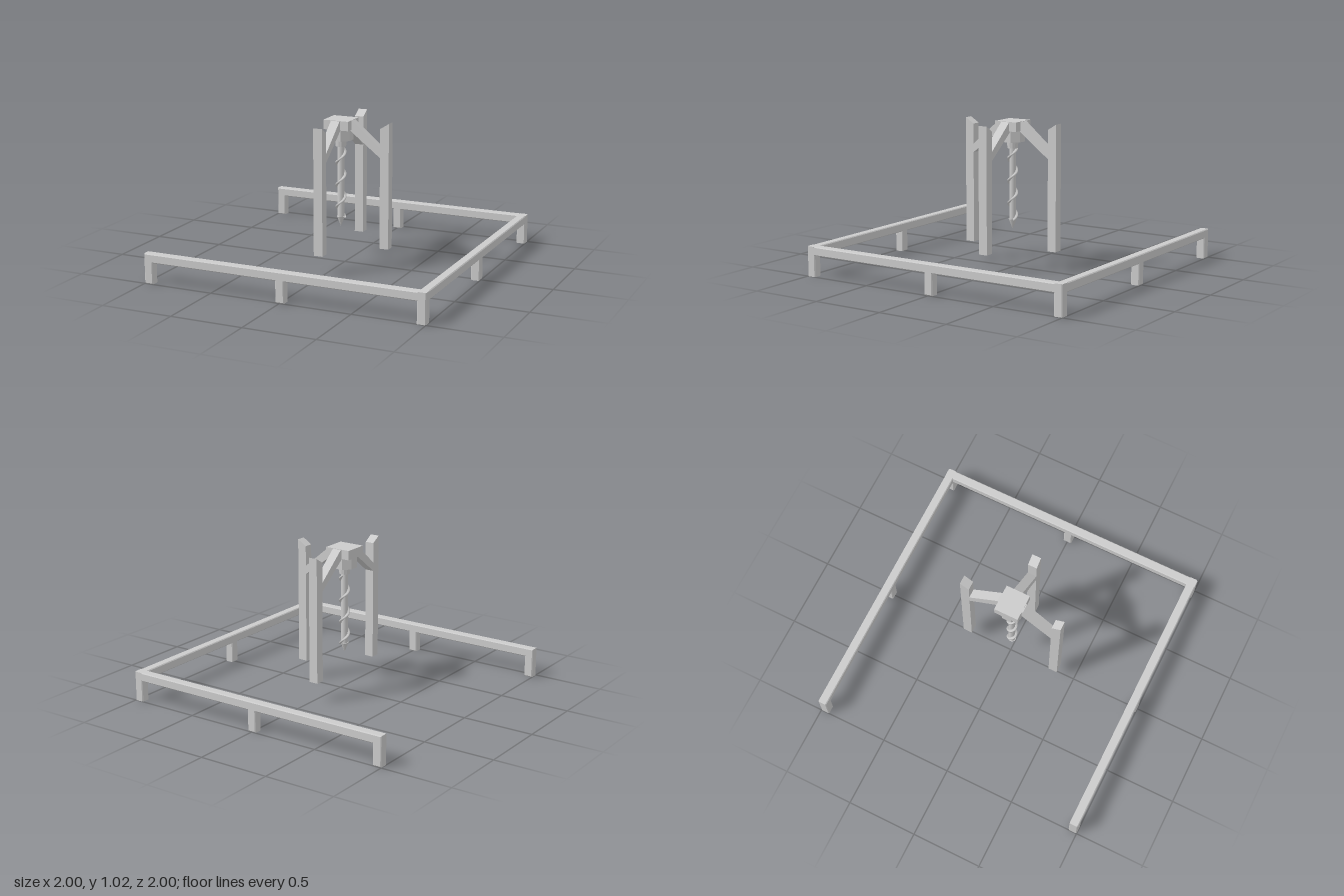
import * as THREE from 'three';

const mat = new THREE.MeshStandardMaterial({ color: 0xcccccc });
const flat = new THREE.MeshStandardMaterial({ color: 0xcccccc, flatShading: true });
const CX = -0.02, CZ = 0.02; // drill axis

function mesh(name, geo, parent, material = mat) {
  const m = new THREE.Mesh(geo, material);
  m.name = name;
  parent.add(m);
  return m;
}

// extrude a 2D outline by a total width, centred on z, with optional chamfer
function slab(points, width, bevel = 0) {
  const shape = new THREE.Shape(points.map(([x, y]) => new THREE.Vector2(x, y)));
  const geo = new THREE.ExtrudeGeometry(shape, {
    depth: width - 2 * bevel, bevelEnabled: bevel > 0, bevelThickness: bevel,
    bevelSize: bevel, bevelOffset: -bevel, bevelSegments: 1,
  });
  return geo.translate(0, 0, -width / 2 + bevel);
}

// screw ribbon of rectangular section winding round the bit
function flightGeometry(y0, y1, rIn, rOut, thick) {
  const pos = [], idx = [], steps = 100, pitch = 0.155;
  const section = [[rIn, -1], [rOut, -0.6], [rOut, 0.6], [rIn, 1]];
  for (let i = 0; i <= steps; i++) {
    const y = y0 + (y1 - y0) * i / steps;
    const t = Math.PI * 1.5 + Math.PI * 2 * (y - 0.425) / pitch;
    for (const [r, s] of section) pos.push(r * Math.cos(t), y + s * thick / 2, -r * Math.sin(t));
    if (i === steps) break;
    for (let k = 0; k < 4; k++) {
      const a = i * 4 + k, b = i * 4 + (k + 1) % 4;
      idx.push(a, b, a + 4, b, b + 4, a + 4);
    }
  }
  const geo = new THREE.BufferGeometry();
  geo.setAttribute('position', new THREE.Float32BufferAttribute(pos, 3));
  geo.setIndex(idx);
  geo.computeVertexNormals();
  return geo;
}

export function createModel() {
  const model = new THREE.Group();
  model.name = 'drillingRig';

  // three-sided perimeter: each side is a rail with three feet
  const w = 0.062, top = 0.207, under = 0.146;
  const railOutline = [
    [-1, 0], [-1 + w, 0], [-1 + w, under], [-w / 2, under], [-w / 2, 0], [w / 2, 0],
    [w / 2, under], [1 - w, under], [1 - w, 0], [1, 0], [1, top], [-1, top],
  ];
  const railGeo = slab(railOutline, w, 0.006);
  const perimeter = new THREE.Group();
  perimeter.name = 'perimeterFence';
  model.add(perimeter);
  mesh('frontRail', railGeo, perimeter).position.z = 1 - w / 2;
  mesh('backRail', railGeo, perimeter).position.z = -1 + w / 2;
  const side = mesh('leftRail', railGeo, perimeter);
  side.rotation.y = Math.PI / 2;
  side.position.x = 1 - w / 2;

  // tower: three posts with slanted tops, each braced to the head
  const tower = new THREE.Group();
  tower.name = 'tower';
  tower.position.set(CX, 0, CZ);
  model.add(tower);
  const postGeo = slab([[0.303, 0.142], [0.367, 0.142], [0.367, 1.015], [0.303, 0.975]], 0.064);
  const braceGeo = slab([[0.07, 0.955], [0.31, 0.77], [0.31, 0.83], [0.093, 1.013], [0.07, 1.013]], 0.064);
  [['left', 0], ['back', Math.PI / 2], ['front', -Math.PI / 2]].forEach(([name, angle]) => {
    const leg = new THREE.Group();
    leg.name = name + 'Support';
    leg.rotation.y = angle;
    tower.add(leg);
    mesh(name + 'Post', postGeo, leg);
    mesh(name + 'Brace', braceGeo, leg);
  });

  // head plate and octagonal motor housing
  mesh('headPlate', new THREE.BoxGeometry(0.184, 0.065, 0.17), tower).position.y = 0.983;
  const housing = mesh('motorHousing', new THREE.CylinderGeometry(0.085, 0.085, 0.08, 8), tower, flat);
  housing.position.y = 0.912;
  housing.rotation.y = Math.PI / 8;

  // chuck, bit with pointed tip, and screw flight
  mesh('chuck', new THREE.CylinderGeometry(0.04, 0.036, 0.05, 12), tower, flat).position.y = 0.85;
  mesh('drillShaft', new THREE.CylinderGeometry(0.023, 0.023, 0.51, 12), tower).position.y = 0.58;
  const tip = mesh('drillTip', new THREE.ConeGeometry(0.028, 0.07, 12), tower, flat);
  tip.rotation.x = Math.PI;
  tip.position.y = 0.295;
  mesh('drillFlight', flightGeometry(0.325, 0.82, 0.018, 0.037, 0.022), tower,
    new THREE.MeshStandardMaterial({ color: 0xcccccc, side: THREE.DoubleSide }));

  return model;
}
